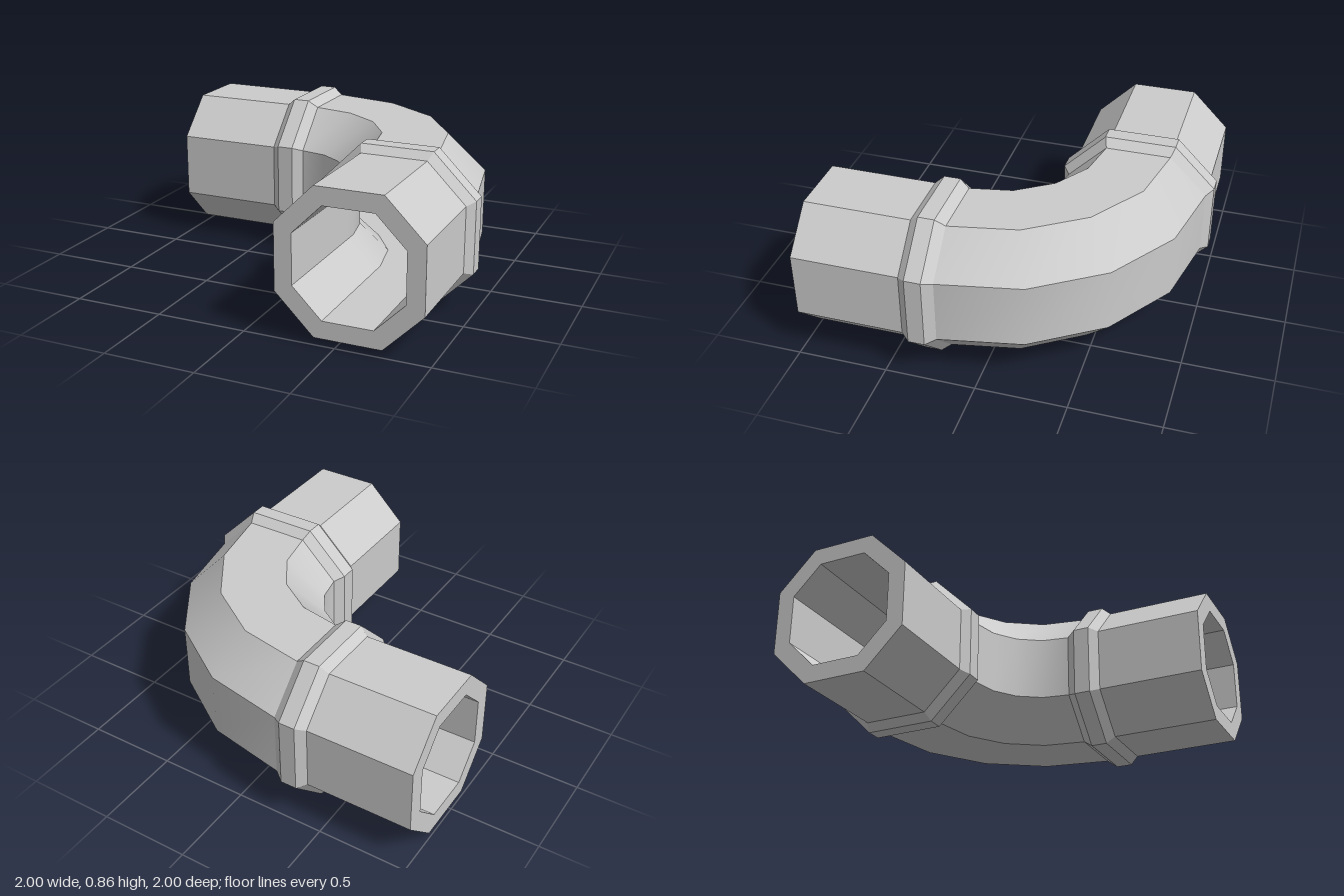
import * as THREE from 'three';
import { toCreasedNormals } from 'three/addons/utils/BufferGeometryUtils.js';

const AXIS_Y = 0.432;   // height of the pipe axis
const AXIS = 0.568;     // axis offset of both arms
const START = 0.215;    // where the bend meets the arms
const RADIUS = AXIS + START;
const OUTER = 0.393, INNER = 0.297, COLLAR = 0.432;
const FLAT = 0.46;      // half length of a main side, relative to the half width

// Octagon with slightly longer main sides, counter-clockwise
const OCTAGON = [
  [1, -FLAT], [1, FLAT], [FLAT, 1], [-FLAT, 1],
  [-1, FLAT], [-1, -FLAT], [-FLAT, -1], [FLAT, -1],
];

// Stations: axis point, outward direction in plan, half width
const onLeftwardArm = (x, half) => ({ x, z: -AXIS, nx: 0, nz: -1, half });
const onFrontArm = (z, half) => ({ x: AXIS, z, nx: 1, nz: 0, half });
const onBend = (t, half) => ({
  x: -START + RADIUS * Math.sin(t), z: START - RADIUS * Math.cos(t),
  nx: Math.sin(t), nz: -Math.cos(t), half,
});
const bendStations = (half) => [0, 1, 2, 3, 4].map((i) => onBend(i * Math.PI / 8, half));

// Loft octagons through the stations
function sweep(name, stations, material) {
  const positions = [], indices = [], n = OCTAGON.length;
  for (const s of stations) {
    for (const [u, v] of OCTAGON) {
      positions.push(s.x + s.nx * u * s.half, AXIS_Y + v * s.half, s.z + s.nz * u * s.half);
    }
  }
  for (let i = 0; i < stations.length - 1; i++) {
    for (let j = 0; j < n; j++) {
      const a = i * n + j, b = i * n + (j + 1) % n;
      indices.push(a, b, a + n, b, b + n, a + n);
    }
  }
  const geometry = new THREE.BufferGeometry();
  geometry.setAttribute('position', new THREE.Float32BufferAttribute(positions, 3));
  geometry.setIndex(indices);
  const mesh = new THREE.Mesh(toCreasedNormals(geometry, 0.55), material);
  mesh.name = name;
  return mesh;
}

export function createModel() {
  const group = new THREE.Group();
  group.name = 'pipeElbow';
  const grey = new THREE.MeshStandardMaterial({ color: 0xcccccc });
  const add = (name, stations) => group.add(sweep(name, stations, grey));

  // Straight arms, ending under the collars
  add('sideArm', [onLeftwardArm(-1, OUTER), onLeftwardArm(-0.31, OUTER)]);
  add('frontArm', [onFrontArm(0.31, OUTER), onFrontArm(1, OUTER)]);

  // Quarter bend
  add('bend', [onLeftwardArm(-0.31, OUTER), ...bendStations(OUTER), onFrontArm(0.31, OUTER)]);

  // Bevelled collars at both ends of the bend
  const collar = [[0.405, OUTER], [0.358, COLLAR], [0.268, COLLAR], [START, OUTER]];
  add('sideCollar', collar.map(([d, h]) => onLeftwardArm(-d, h)));
  add('frontCollar', collar.map(([d, h]) => onFrontArm(d, h)).reverse());

  // Bore, swept backwards so its faces look inwards
  add('bore', [
    onLeftwardArm(-1, INNER), onLeftwardArm(-0.3, INNER), ...bendStations(INNER),
    onFrontArm(0.3, INNER), onFrontArm(1, INNER),
  ].reverse());

  // End faces between bore and outer wall
  add('sideRim', [onLeftwardArm(-1, INNER), onLeftwardArm(-1, OUTER)]);
  add('frontRim', [onFrontArm(1, OUTER), onFrontArm(1, INNER)]);

  return group;
}
